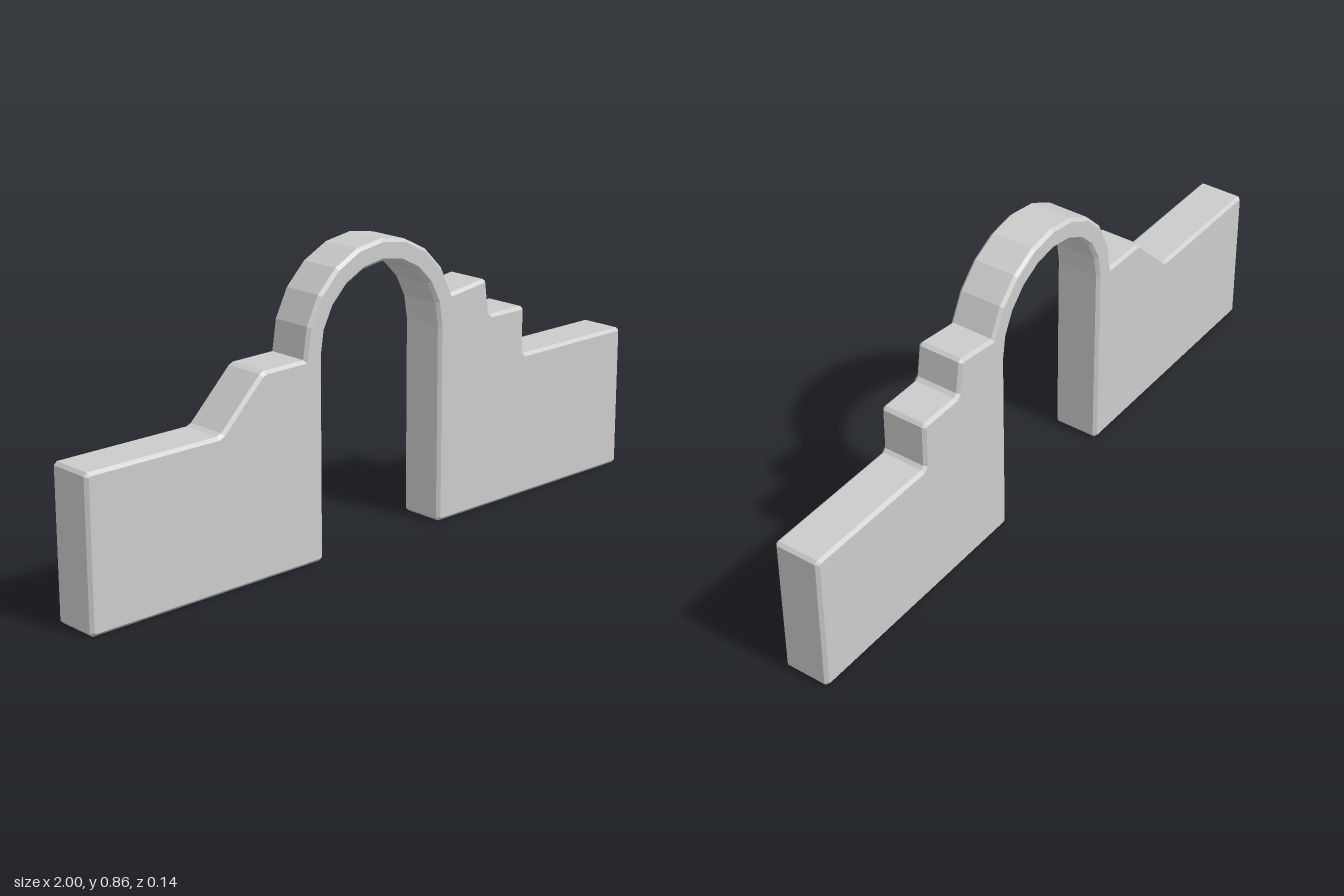
import * as THREE from 'three';

const BEVEL = 0.009;
const DEPTH = 0.14;
const SPRING = 0.575; // height where the arch starts to curve

// Points of a faceted arc around the arch centre, between two steps of 18 degrees
function arc(radius, from, to) {
  const points = [];
  const dir = Math.sign(to - from);
  for (let i = from; i !== to + dir; i += dir) {
    const a = (i * Math.PI) / 10;
    points.push(new THREE.Vector2(radius * Math.cos(a), SPRING + radius * Math.sin(a)));
  }
  return points;
}

// Corner points cut by a small chamfer
function chamfer(prev, corner, next) {
  return [prev, next].map((p) =>
    corner.clone().add(p.clone().sub(corner).setLength(BEVEL)));
}

export function createModel() {
  const group = new THREE.Group();
  group.name = 'archedWall';

  const corner = (x, y) => Object.assign(new THREE.Vector2(x, y), { cut: true });

  // Outline, counter-clockwise from the foot of the opening
  const outline = [
    corner(0.22, 0), corner(1, 0), corner(1, 0.43),
    corner(0.567, 0.43), corner(0.567, 0.573), // lower step
    corner(0.423, 0.573), corner(0.407, 0.681), // tilted upper step
    ...arc(0.283, 1, 10), // outside of the arch
    corner(-0.428, 0.573), corner(-0.572, 0.43), // sloped shoulder
    corner(-1, 0.43), corner(-1, 0), corner(-0.22, 0),
    ...arc(0.22, 10, 0), // inside of the arch
  ];

  const n = outline.length;
  const points = outline.flatMap((p, i) => (p.cut
    ? chamfer(outline[(i + n - 1) % n], p, outline[(i + 1) % n])
    : [p]));

  // Wall plate with chamfered front and back edges
  const geometry = new THREE.ExtrudeGeometry(new THREE.Shape(points), {
    depth: DEPTH - 2 * BEVEL,
    bevelEnabled: true,
    bevelSegments: 1,
    bevelSize: BEVEL,
    bevelThickness: BEVEL,
    bevelOffset: -BEVEL,
  });
  geometry.translate(0, 0, -DEPTH / 2 + BEVEL);

  const wall = new THREE.Mesh(
    geometry,
    new THREE.MeshStandardMaterial({ color: 0xcccccc, flatShading: true }),
  );
  wall.name = 'wall';
  group.add(wall);
  return group;
}
